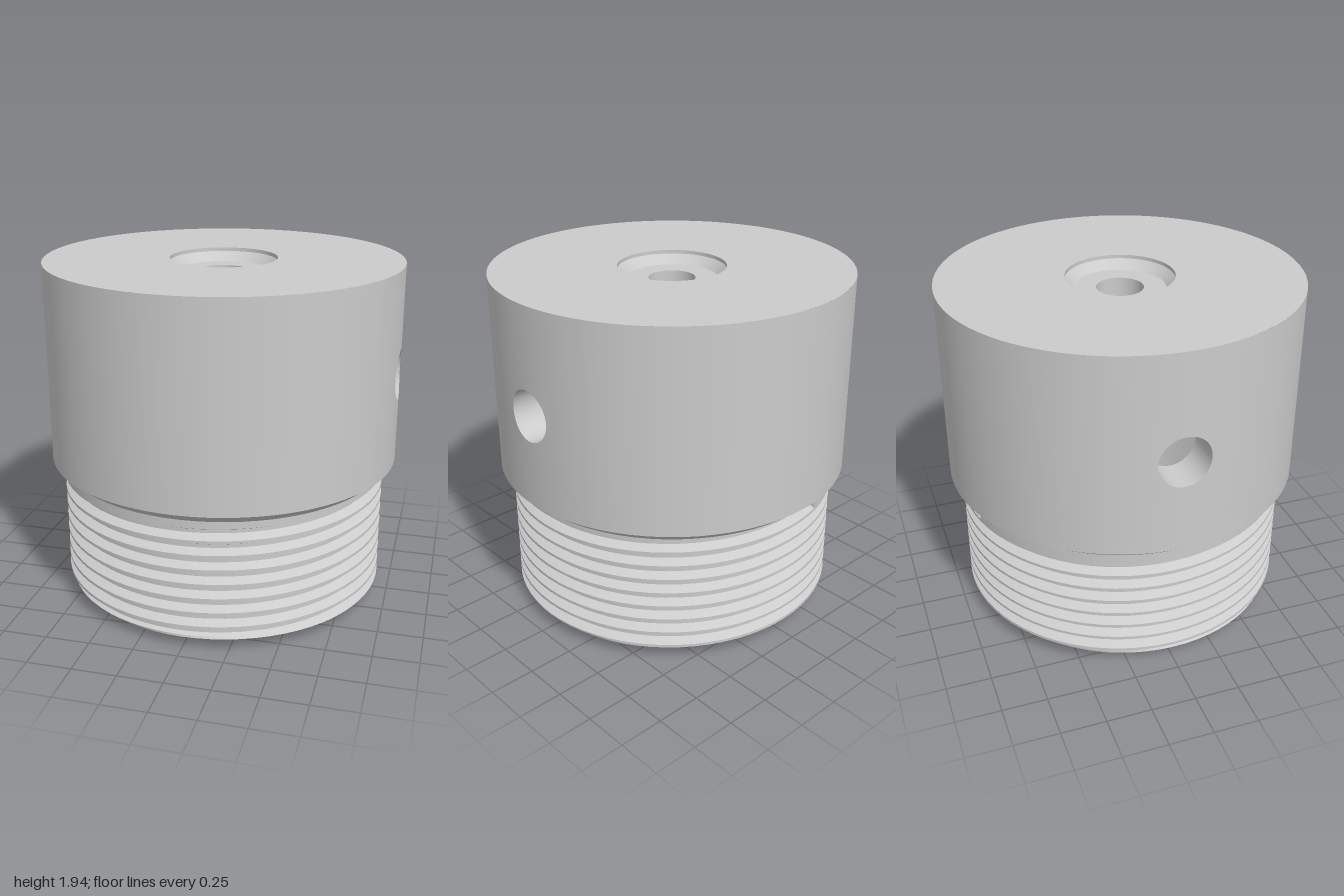
import * as THREE from 'three';
import { toCreasedNormals } from 'three/addons/utils/BufferGeometryUtils.js';

const R = 1, BORE = 0.79, TOP = 1.94, CEILING = 1.55, SHOULDER = 0.82, NECK = 0.765, CREST = 0.933;
const HOLE_R = 0.143, HOLE_Y = 1.34, HALF = 0.4; // cross hole, half angle of its wall patch
const SIDES = 72;
const material = new THREE.MeshStandardMaterial({ color: 0xcccccc, side: THREE.DoubleSide });

// Skin a list of equally long point rows, sharp edges kept
function skin(rows) {
  const n = rows[0].length, index = [];
  for (let i = 0; i < rows.length - 1; i++) {
    for (let j = 0; j < n - 1; j++) {
      const a = i * n + j, b = a + n;
      index.push(a, b, a + 1, b, b + 1, a + 1);
    }
  }
  const geo = new THREE.BufferGeometry();
  geo.setAttribute('position', new THREE.Float32BufferAttribute(rows.flat(2), 3));
  geo.setIndex(index);
  return toCreasedNormals(geo, 0.5);
}

function lathe(points) {
  const profile = points.map(([r, y]) => new THREE.Vector2(r, y));
  return toCreasedNormals(new THREE.LatheGeometry(profile, SIDES), 0.5);
}

// Right-hand helical groove, clipped by the bottom chamfer and the neck
function threadGeometry() {
  const pitch = 0.084, root = 0.887, endStep = 21;
  const profile = [[-0.042, 0], [-0.034, 0], [-0.022, 0.5], [-0.01, 1], [0, 1], [0.01, 1],
    [0.022, 0.5], [0.034, 0], [0.042, 0]];
  const rows = [];
  const addRow = (step, grooved) => {
    const turn = step / SIDES, t = turn * Math.PI * 2;
    rows.push(profile.map(([dy, depth]) => {
      const y = THREE.MathUtils.clamp(0.708 + pitch * turn + dy, 0, NECK);
      const r = Math.min(CREST - (CREST - root) * (grooved ? depth : 0), 0.8 + 1.73 * y);
      return [r * Math.cos(t), y, -r * Math.sin(t)];
    }));
  };
  for (let i = Math.round(-9.6 * SIDES); i <= endStep; i++) addRow(i, true);
  // The groove stops at an upright face; a plain band follows
  for (let i = endStep; i <= 1.3 * SIDES; i++) addRow(i, false);
  return skin(rows);
}

// Wall sector around one cross hole: inner face, hole lining and outer face
function holePatchGeometry() {
  const perSide = 16, steps = 4;
  const corners = [[-1, 0], [1, 0], [1, 1], [-1, 1], [-1, 0]];
  const border = [];
  for (let s = 0; s < 4; s++) {
    for (let k = 0; k < perSide; k++) {
      border.push([0, 1].map(c => THREE.MathUtils.lerp(corners[s][c], corners[s + 1][c], k / perSide)));
    }
  }
  border.push(border[0]);

  const ring = (radius, high, f) => border.map(([u, v]) => {
    const a = u * HALF, y = THREE.MathUtils.lerp(SHOULDER, high, v);
    // Aim by the outer rectangle so both hole rims line up
    const dir = Math.atan2(THREE.MathUtils.lerp(SHOULDER, TOP, v) - HOLE_Y, a);
    const holeAngle = Math.asin(HOLE_R * Math.cos(dir) / radius);
    const angle = THREE.MathUtils.lerp(a, holeAngle, f);
    const py = THREE.MathUtils.lerp(y, HOLE_Y + HOLE_R * Math.sin(dir), f);
    return [radius * Math.cos(angle), py, radius * Math.sin(angle)];
  });
  const rows = [];
  for (let i = 0; i <= steps; i++) rows.push(ring(BORE, CEILING, i / steps));
  for (let i = steps; i >= 0; i--) rows.push(ring(R, TOP, i / steps));
  return skin(rows);
}

export function createModel() {
  const group = new THREE.Group();
  const add = (name, geo) => {
    const mesh = new THREE.Mesh(geo, material);
    mesh.name = name;
    group.add(mesh);
    return mesh;
  };

  // Top plate with chamfered recess, centre hole and cavity ceiling
  add('topPlate', lathe([[R, TOP], [0.3, TOP], [0.3, 1.92], [0.25, 1.87], [0.13, 1.87],
    [0.13, CEILING], [BORE, CEILING]]));

  // Chamfer and narrow ledge under the head, then the lower bore with its rim
  add('shoulder', lathe([[CREST, NECK], [0.985, SHOULDER], [R, SHOULDER]]));
  add('lowerBore', lathe([[BORE, SHOULDER], [BORE, 0], [0.8, 0]]));
  add('thread', threadGeometry());

  // Head wall: two plain arcs and two sectors with the cross holes
  const patch = holePatchGeometry();
  for (let i = 0; i < 2; i++) {
    const start = Math.PI / 2 + HALF + i * Math.PI, length = Math.PI - 2 * HALF;
    for (const [name, r, high] of [['outerWall', R, TOP], ['innerWall', BORE, CEILING]]) {
      const geo = new THREE.CylinderGeometry(r, r, high - SHOULDER, 32, 1, true, start, length);
      add(name, geo).position.y = (high + SHOULDER) / 2;
    }
    add('crossHoleWall', patch).rotation.y = i * Math.PI;
  }
  return group;
}
